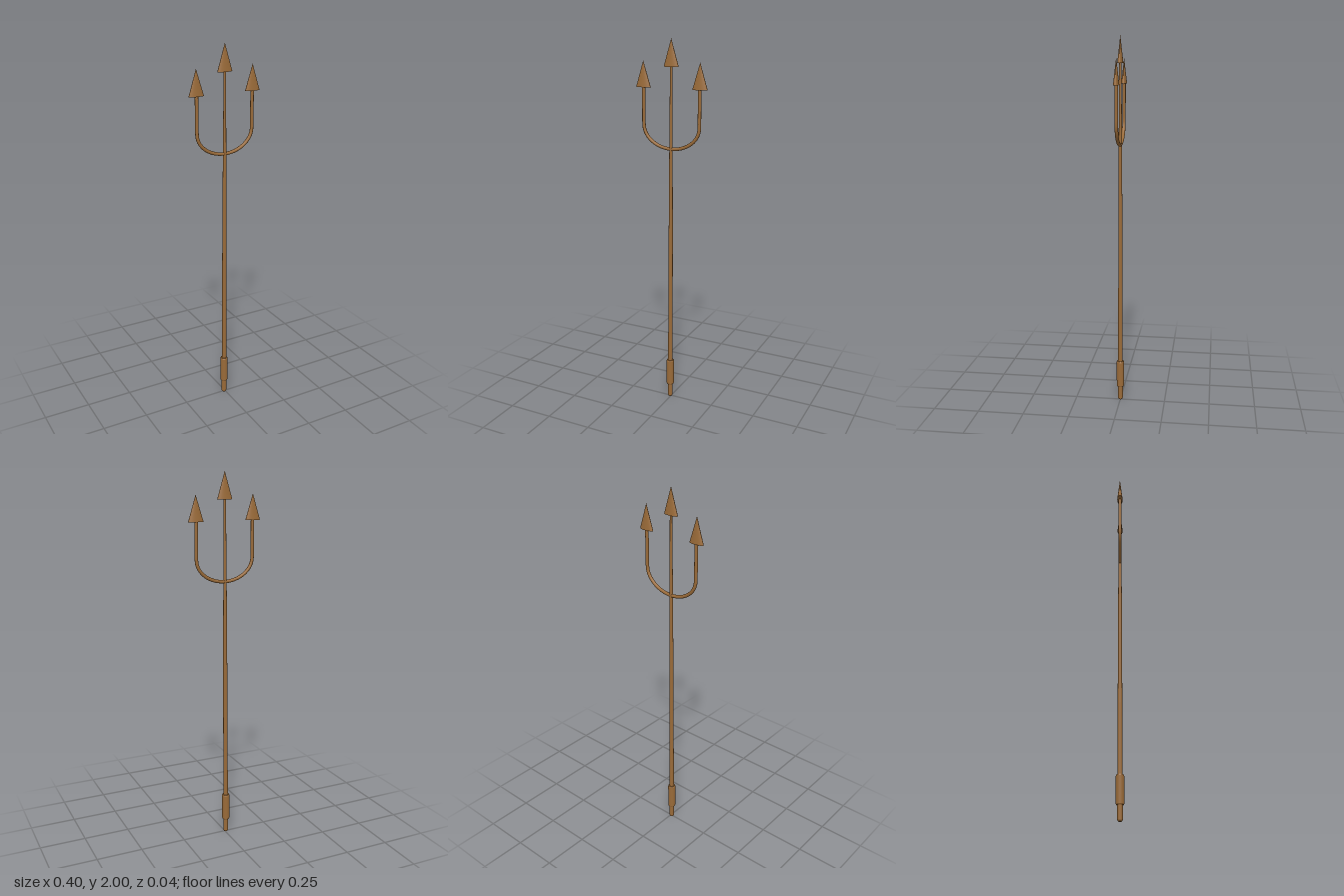
import * as THREE from 'three';

export function createModel() {
  const model = new THREE.Group();
  const bronze = new THREE.MeshStandardMaterial({ color: 0x996a38 });
  bronze.name = 'bronze';

  const add = (name, geometry, x = 0, y = 0) => {
    const mesh = new THREE.Mesh(geometry, bronze);
    mesh.name = name;
    mesh.position.set(x, y, 0);
    model.add(mesh);
    return mesh;
  };
  const lathe = (points) =>
    new THREE.LatheGeometry(points.map(([r, y]) => new THREE.Vector2(r, y)), 24);

  // Tapered shaft, leaning very slightly from the grip to the middle point
  const shaft = lathe([[0.013, 0.2], [0.012, 0.6], [0.011, 1.0], [0.009, 1.43], [0.006, 1.87]]);
  const p = shaft.attributes.position;
  for (let i = 0; i < p.count; i++) {
    p.setX(i, p.getX(i) - 0.006 * Math.max(0, 1 - p.getY(i) / 1.86));
  }
  add('shaft', shaft);

  // Grip sleeve and the narrower butt below it
  add('grip', lathe([[0, 0.078], [0.018, 0.078], [0.018, 0.078], [0.021, 0.084],
    [0.021, 0.084], [0.021, 0.222], [0.021, 0.222], [0.018, 0.228], [0.018, 0.228], [0, 0.228]]), -0.006);
  add('butt', lathe([[0, 0], [0.010, 0], [0.010, 0], [0.014, 0.008], [0.014, 0.008], [0.014, 0.085]]), -0.006);

  // U-shaped fork: two straight prongs joined by a half-ellipse
  const path = [[-0.159, 1.76], [-0.159, 1.68], [-0.159, 1.61]];
  for (let i = 0; i <= 16; i++) {
    const a = Math.PI * (1 + i / 16);
    path.push([0.159 * Math.cos(a), 1.56 + 0.12 * Math.sin(a)]);
  }
  path.push([0.159, 1.61], [0.159, 1.68], [0.159, 1.76]);
  const curve = new THREE.CatmullRomCurve3(path.map(([x, y]) => new THREE.Vector3(x, y, 0)));
  add('fork', new THREE.TubeGeometry(curve, 80, 0.009, 12, false));

  // Flattened spear points
  for (const [name, x, base, height] of [
    ['middlePoint', 0, 1.86, 0.14],
    ['leftPoint', 0.16, 1.752, 0.135],
    ['rightPoint', -0.16, 1.752, 0.135],
  ]) {
    const cone = new THREE.ConeGeometry(0.042, height, 24);
    cone.scale(1, 1, 0.36);
    cone.translate(0, height / 2, 0);
    add(name, cone, x, base);
  }
  return model;
}
